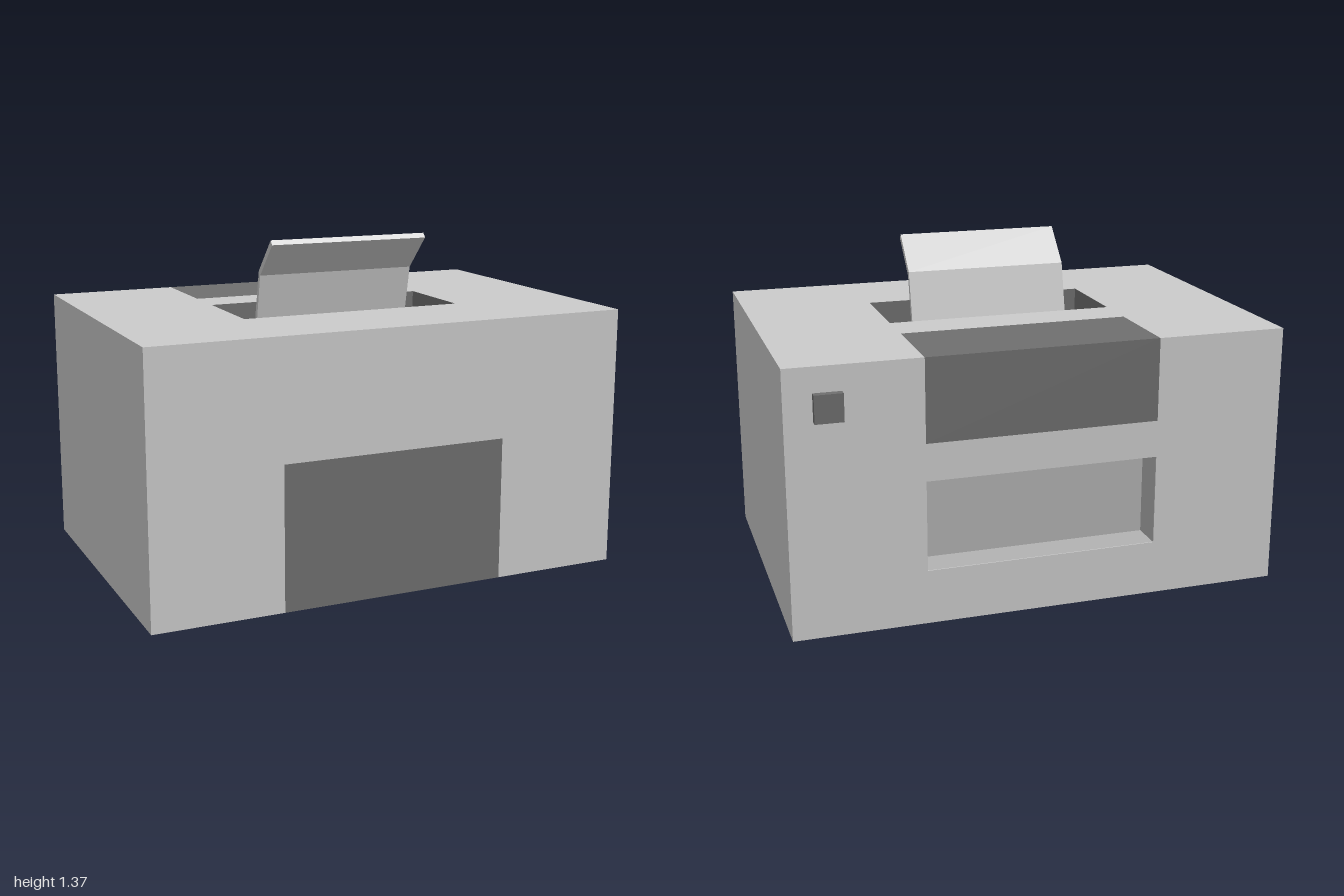
import * as THREE from 'three';

const HALF_W = 0.47;               // half width of panels and recesses
const TOP = 1.07, FRONT = 0.68, BACK = -0.65;

const grey = new THREE.MeshStandardMaterial({ color: 0xcccccc, flatShading: true });
const midGrey = new THREE.MeshStandardMaterial({ color: 0xb2b2b2, flatShading: true });
const dark = new THREE.MeshStandardMaterial({ color: 0x6f6f6f, flatShading: true });

function add(group, name, geometry, material) {
  const mesh = new THREE.Mesh(geometry, material);
  mesh.name = name;
  group.add(mesh);
}

// Box given by its limits on each axis
function box([x0, x1], [y0, y1], [z0, z1]) {
  return new THREE.BoxGeometry(x1 - x0, y1 - y0, z1 - z0)
    .translate((x0 + x1) / 2, (y0 + y1) / 2, (z0 + z1) / 2);
}

// Inward-facing box with one side left open (0 +x, 1 -x, 2 +y, 3 -y, 4 +z, 5 -z)
function recess(x, y, z, openSide) {
  const geometry = box(x, y, z);
  const index = [...geometry.index.array];
  index.splice(openSide * 6, 6);
  geometry.setIndex(index.reverse());
  geometry.clearGroups();
  const flipped = geometry.toNonIndexed();
  flipped.computeVertexNormals();
  return flipped;
}

// Extrude a [z, y] side profile symmetrically along x
function sideProfile(points, halfWidth) {
  const shape = new THREE.Shape(points.map(([z, y]) => new THREE.Vector2(-z, y)));
  return new THREE.ExtrudeGeometry(shape, { depth: halfWidth * 2, bevelEnabled: false })
    .translate(0, 0, -halfWidth)
    .rotateY(Math.PI / 2);
}

export function createModel() {
  const model = new THREE.Group();
  model.name = 'printer';

  const wellFloor = 0.972, wellZ = [-0.1, 0.28];
  const slotY = [0.22, 0.585], slotDepth = -0.52;
  const frontPanel = { y: [0, 0.585], z: [0.32, FRONT] };
  const backPanel = { y: [0.735, TOP], z: [BACK, -0.28] };

  // Housing: a block on each side and a notched centre section
  const housing = new THREE.Group();
  housing.name = 'housing';
  model.add(housing);
  add(housing, 'leftHousing', box([HALF_W, 1], [0, TOP], [BACK, FRONT]), grey);
  add(housing, 'rightHousing', box([-1, -HALF_W], [0, TOP], [BACK, FRONT]), grey);
  add(housing, 'centreHousing', sideProfile([
    [BACK, 0], [frontPanel.z[0], 0],
    [frontPanel.z[0], frontPanel.y[1]], [FRONT, frontPanel.y[1]],
    [FRONT, TOP], [wellZ[1], TOP], [wellZ[1], wellFloor],
    [wellZ[0], wellFloor], [wellZ[0], TOP], [backPanel.z[1], TOP],
    [backPanel.z[1], backPanel.y[0]], [BACK, backPanel.y[0]],
    [BACK, slotY[1]], [slotDepth, slotY[1]], [slotDepth, slotY[0]], [BACK, slotY[0]],
  ], HALF_W), grey);

  // Flush dark panels
  add(model, 'frontPanel', box([-HALF_W, HALF_W], frontPanel.y, frontPanel.z), dark);
  add(model, 'backPanel', box([-HALF_W, HALF_W], backPanel.y, backPanel.z), dark);

  // Linings sit just inside the notches
  const e = 0.002, liningX = [-HALF_W + e, HALF_W - e];
  add(model, 'paperWell',
    recess(liningX, [wellFloor + e, TOP], [wellZ[0] + e, wellZ[1] - e], 2), dark);
  add(model, 'backSlot',
    recess(liningX, [slotY[0] + e, slotY[1] - e], [BACK, slotDepth - e], 5), midGrey);

  // Bent flap rising out of the well
  add(model, 'paperFlap', sideProfile([
    [0.044, wellFloor], [0.066, wellFloor], [0.117, 1.212], [0.249, 1.348],
    [0.234, 1.366], [0.103, 1.23],
  ], 0.338), grey);

  // Small button on the back
  add(model, 'backButton', box([0.78, 0.89], [0.86, 0.97], [-0.68, BACK]), dark);

  return model;
}
